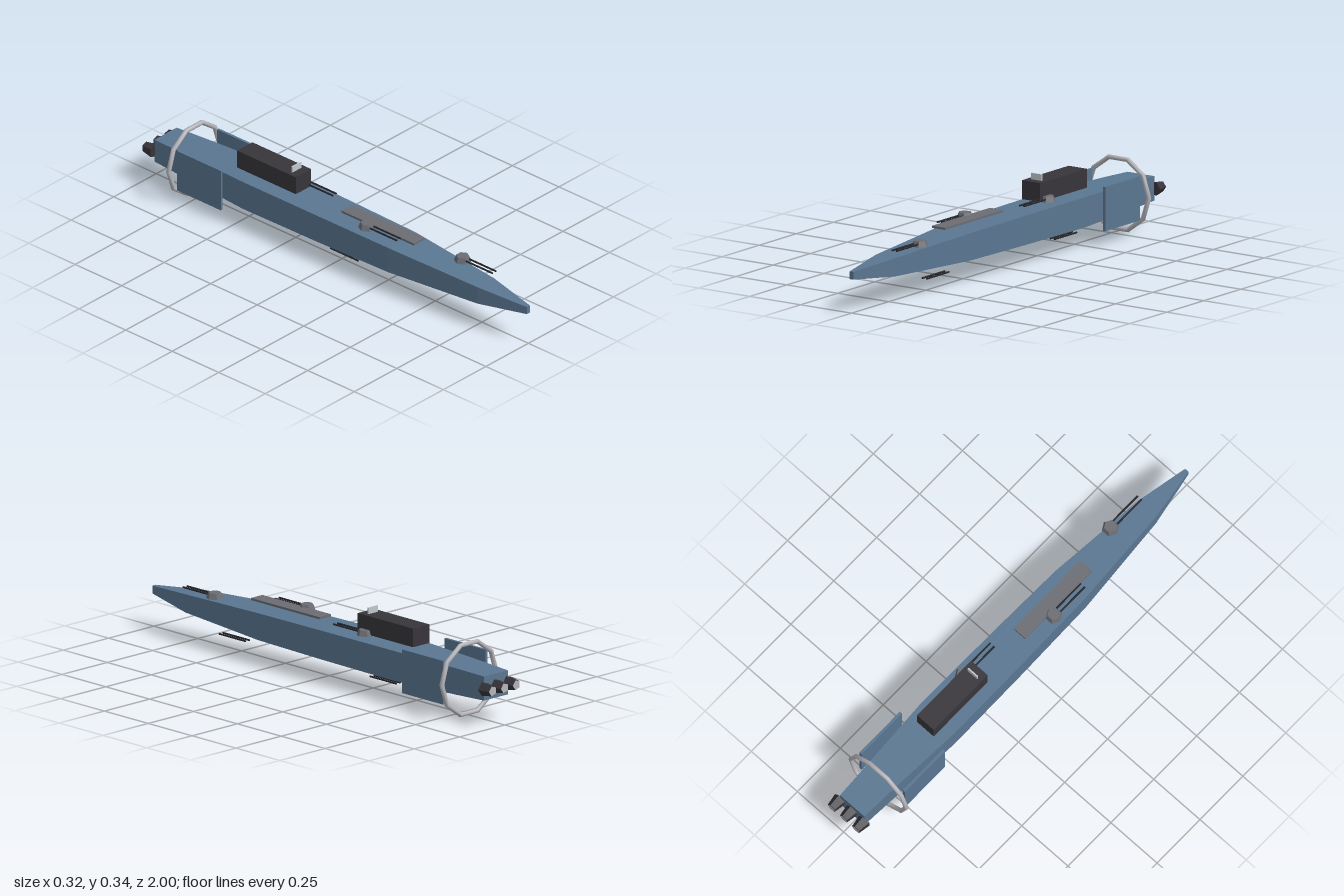
import * as THREE from 'three';

const mat = (name, color, extra = {}) =>
  Object.assign(new THREE.MeshStandardMaterial({ color, ...extra }), { name });

export function createModel() {
  const hullBlue = mat('hull blue', 0x5a7691);
  const dark = mat('dark structure', 0x37353b);
  const black = mat('barrel black', 0x25262a);
  const grey = mat('turret grey', 0x6c6d73);
  const silver = mat('ring silver', 0xb4b4ba);
  const pale = mat('antenna pale grey', 0xc2c8cc);

  const root = new THREE.Group();
  root.name = 'spaceship';
  const CY = 0.156; // height of the ship's long axis

  const add = (name, geo, material, x, y, z, parent = root) => {
    const m = new THREE.Mesh(geo, material);
    m.name = name;
    m.position.set(x, y, z);
    parent.add(m);
    return m;
  };
  const box = (name, w, h, d, material, x, y, z) =>
    add(name, new THREE.BoxGeometry(w, h, d), material, x, y, z);

  // Hull: rectangular sections from bow to stern [z, half width, bottom, top]
  const sections = [
    [1, 0.009, 0.141, 0.173],
    [0.77, 0.049, 0.117, 0.192],
    [0.32, 0.083, 0.101, 0.212],
    [-0.05, 0.089, 0.097, 0.216],
    [-0.45, 0.092, 0.095, 0.218],
    [-0.8, 0.073, 0.102, 0.211],
    [-0.95, 0.066, 0.107, 0.206],
  ];
  const pos = [], idx = [];
  for (const [z, w, b, t] of sections) pos.push(-w, b, z, w, b, z, w, t, z, -w, t, z);
  for (let s = 0; s < sections.length - 1; s++) {
    for (let k = 0; k < 4; k++) {
      const a = s * 4 + k, b = s * 4 + (k + 1) % 4;
      idx.push(a, a + 4, b, b, a + 4, b + 4);
    }
  }
  const e = (sections.length - 1) * 4;
  idx.push(0, 1, 2, 0, 2, 3, e, e + 2, e + 1, e, e + 3, e + 2);
  const indexed = new THREE.BufferGeometry();
  indexed.setAttribute('position', new THREE.Float32BufferAttribute(pos, 3));
  indexed.setIndex(idx);
  const hull = indexed.toNonIndexed();
  hull.computeVertexNormals();
  add('hull', hull, hullBlue, 0, 0, 0);

  // Bridge block, antenna panel and raised deck strip
  box('bridge', 0.09, 0.077, 0.315, dark, 0, 0.2745, -0.366);
  box('antennaPanel', 0.052, 0.028, 0.006, pale, 0, 0.325, -0.247);
  box('deckStrip', 0.064, 0.009, 0.39, grey, 0, 0.2415, 0.219);

  // Side fins
  for (const s of [1, -1]) box(s > 0 ? 'leftFin' : 'rightFin', 0.011, 0.18, 0.235, hullBlue, s * 0.117, CY, -0.658);

  // Ten-sided stern ring
  add('sternRing', new THREE.TorusGeometry(0.15, 0.01, 8, 10), silver, 0, CY, -0.796);

  // Twin barrels, pointing forward from z
  const barrels = (name, x, y, z) => {
    const geo = new THREE.CylinderGeometry(0.004, 0.004, 0.15, 6).rotateX(Math.PI / 2);
    for (const s of [1, -1]) add(name, geo, black, x + s * 0.0105, y, z + 0.095);
  };

  // Deck turrets
  const turretGeo = new THREE.CylinderGeometry(0.027, 0.036, 0.023, 6).rotateY(Math.PI / 6).toNonIndexed();
  turretGeo.computeVertexNormals();
  for (const [x, y, z] of [[0.046, 0.222, 0.605], [-0.046, 0.244, 0.175], [0.046, 0.244, -0.253]]) {
    add('turret', turretGeo, grey, x, y, z);
    barrels('turretBarrel', x, y, z);
  }

  // Belly guns
  for (const [x, z] of [[0.045, 0.4], [-0.046, -0.032], [0.045, -0.46]]) barrels('bellyBarrel', x, 0.071, z);

  // Five-sided engine nozzles with bright rear faces
  const nozzleGeo = new THREE.CylinderGeometry(0.03, 0.021, 0.052, 5)
    .rotateY(0).rotateX(Math.PI / 2).rotateZ(Math.PI / 2).toNonIndexed();
  nozzleGeo.computeVertexNormals();
  const exhaustGeo = new THREE.CircleGeometry(0.021, 5).rotateX(Math.PI);
  for (const x of [-0.066, 0, 0.066]) {
    add('engineNozzle', nozzleGeo, dark, x, CY, -0.973);
    add('engineExhaust', exhaustGeo, silver, x, CY, -1);
  }

  return root;
}
